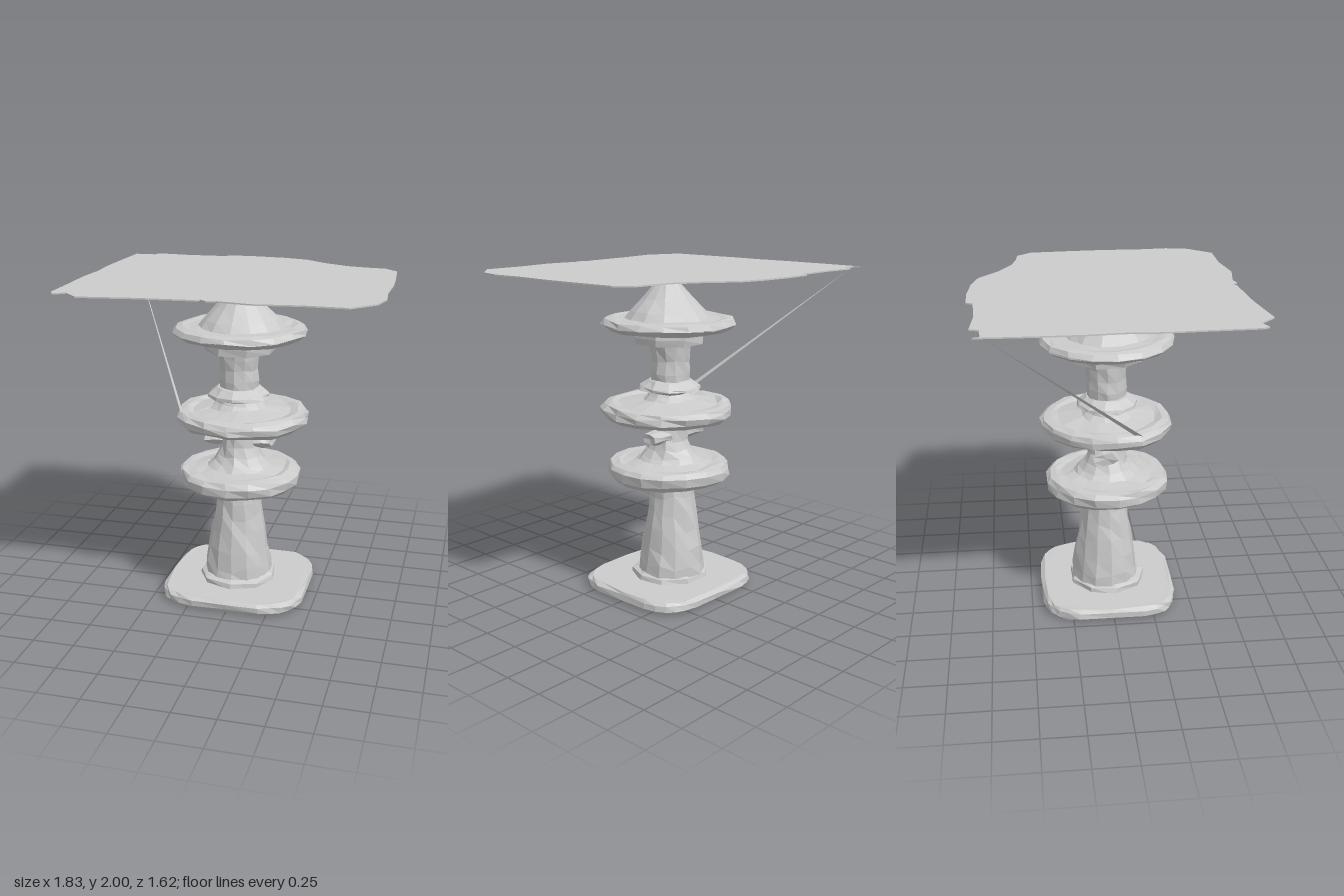
import * as THREE from 'three';

const stone = new THREE.MeshStandardMaterial({ color: 0xcccccc, flatShading: true, side: THREE.DoubleSide });

// Repeatable noise from a position, so seam vertices move together
const noise = (x, y, z, k) => {
  const q = (v) => Math.round(v * 1000);
  const s = Math.sin(q(x) * 12.9898 + q(y) * 78.233 + q(z) * 37.719 + k * 51.3) * 43758.5453;
  return (s - Math.floor(s)) * 2 - 1;
};

// Roughen a geometry like worn, hand-cut stone
function weather(geo, amount, amountY = amount) {
  const p = geo.attributes.position;
  for (let i = 0; i < p.count; i++) {
    const [x, y, z] = [p.getX(i), p.getY(i), p.getZ(i)];
    p.setXYZ(i, x + noise(x, y, z, 1) * amount, y + noise(x, y, z, 2) * amountY, z + noise(x, y, z, 3) * amount);
  }
  geo.computeVertexNormals();
  return geo;
}

function add(group, name, geo, x = 0, y = 0, z = 0) {
  const mesh = new THREE.Mesh(geo, stone);
  mesh.name = name;
  mesh.position.set(x, y, z);
  group.add(mesh);
  return mesh;
}

const turned = (profile, sides, rough, roughY) =>
  weather(new THREE.LatheGeometry(profile.map(([r, y]) => new THREE.Vector2(r, y)), sides), rough, roughY);

// Flat outline in x, z extruded upward
function slab(points, depth, bevel = 0) {
  const shape = new THREE.Shape(points.map(([x, z]) => new THREE.Vector2(x, -z)));
  const geo = new THREE.ExtrudeGeometry(shape, {
    depth, bevelEnabled: bevel > 0, bevelThickness: bevel, bevelSize: bevel, bevelOffset: -bevel, bevelSegments: 1,
  });
  return geo.rotateX(-Math.PI / 2).translate(0, bevel, 0);
}

// Overhanging disc with a hollow underside and a drooping rim
const discProfile = (r, y0, y1, dip, hub, hubY) => [
  [0.1, y1 - 0.05], [r - 0.12, y1 - 0.045], [r - 0.085, y0 + 0.015], [r - 0.045, y0], [r - 0.005, y0 + 0.03],
  [r, y1 - 0.035], [r - 0.02, y1 - 0.006], [r - 0.06, y1], [r - 0.1, y1 - dip], [hub, hubY],
];

export function createModel() {
  const model = new THREE.Group();
  model.name = 'stoneTower';

  // Rounded square foot
  const foot = [];
  for (let i = 0; i < 28; i++) {
    const a = (i / 28) * Math.PI * 2;
    const p = (v) => Math.sign(v) * Math.pow(Math.abs(v), 0.5);
    foot.push([0.445 * p(Math.cos(a)) - 0.01, -0.42 * p(Math.sin(a)) - 0.01]);
  }
  add(model, 'foot', weather(slab(foot, 0.035, 0.018), 0.008, 0.002));

  // Low plinth and tapering lower shaft
  add(model, 'plinth', turned([[0.245, 0.06], [0.24, 0.1], [0.2, 0.117], [0.15, 0.118]], 9, 0.008, 0.003), -0.02, 0, -0.01);
  add(model, 'lowerShaft', turned([
    [0.215, 0.1], [0.207, 0.17], [0.19, 0.27], [0.17, 0.4], [0.153, 0.5], [0.14, 0.6], [0.132, 0.7], [0.13, 0.8],
  ], 13, 0.006, 0.02), -0.02, 0, -0.02);

  // Lower disc with its collar beneath and sloping hub above
  add(model, 'lowerCollar', turned([[0.13, 0.735], [0.2, 0.74], [0.21, 0.78]], 12, 0.006), -0.01, 0, -0.01);
  add(model, 'lowerDisc', turned(discProfile(0.38, 0.71, 0.825, 0.006, 0.2, 0.835), 17, 0.01, 0.006), -0.01, 0, -0.005);
  add(model, 'lowerHub', turned([
    [0.22, 0.815], [0.17, 0.86], [0.135, 0.905], [0.115, 0.96], [0.112, 1.03], [0.125, 1.08], [0.15, 1.13], [0.15, 1.16],
  ], 12, 0.008, 0.01), -0.01, 0, -0.01);

  // Stubby side lugs
  for (const [name, x] of [['rightLug', -0.16], ['leftLug', 0.13]]) {
    const geo = new THREE.CylinderGeometry(0.045, 0.038, 0.13, 7, 2);
    geo.rotateZ(Math.PI / 2).scale(1, 1, 1.7);
    add(model, name, weather(geo, 0.01), x, 0.99, -0.03);
  }

  // Middle disc and the ridged collar above it
  add(model, 'middleDisc', turned(discProfile(0.405, 1.1, 1.2, 0.012, 0.15, 1.215), 17, 0.01, 0.006), 0.01, 0, -0.01);
  add(model, 'ridgedCollar', turned([
    [0.18, 1.2], [0.135, 1.235], [0.125, 1.255], [0.19, 1.275], [0.185, 1.292], [0.135, 1.33], [0.11, 1.335],
  ], 11, 0.006, 0.004), -0.015, 0, -0.005);

  // Upper shaft, faceted capital and roof
  add(model, 'upperShaft', turned([[0.12, 1.31], [0.123, 1.38], [0.118, 1.45], [0.125, 1.52], [0.135, 1.58]], 12, 0.006, 0.01), -0.015, 0, -0.01);
  const capital = turned([[0.11, 1.557], [0.215, 1.56], [0.222, 1.6], [0.222, 1.67]], 8, 0.005, 0.003);
  add(model, 'capital', capital, -0.005, 0, -0.005).rotation.y = Math.PI / 8;
  add(model, 'roofDisc', turned(discProfile(0.41, 1.645, 1.715, 0.004, 0.22, 1.715), 17, 0.009, 0.005), -0.005, 0, -0.01);
  add(model, 'roofCone', turned([
    [0.275, 1.695], [0.225, 1.757], [0.155, 1.83], [0.075, 1.92], [0, 1.995],
  ], 14, 0.003));

  // Thin ragged canopy sheet
  const outline = [
    [-0.91, -0.76], [-0.9, -0.72], [-0.78, -0.73], [-0.77, -0.78], [-0.55, -0.76], [-0.3, -0.77], [-0.28, -0.81],
    [-0.1, -0.81], [0.1, -0.79], [0.25, -0.75], [0.4, -0.63], [0.55, -0.55], [0.68, -0.52], [0.79, -0.51],
    [0.87, -0.42], [0.89, -0.15], [0.9, 0.05], [0.895, 0.3], [0.91, 0.48], [0.88, 0.62], [0.75, 0.76], [0.5, 0.755],
    [0.25, 0.785], [0.05, 0.75], [0, 0.765], [-0.04, 0.73], [-0.06, 0.75], [-0.4, 0.77], [-0.71, 0.81], [-0.8, 0.72],
    [-0.87, 0.745], [-0.89, 0.71], [-0.9, 0.4], [-0.91, 0.2], [-0.9, 0], [-0.915, -0.2], [-0.915, -0.5],
  ];
  add(model, 'canopy', slab(outline, 0.008), 0, 1.992, 0);

  // Sliver-thin stay from the canopy corner to the middle disc
  const stay = new THREE.BufferGeometry();
  stay.setAttribute('position', new THREE.Float32BufferAttribute([
    -0.91, 1.99, -0.7, -0.33, 1.18, 0.14, -0.33, 1.18, 0.18,
  ], 3));
  stay.computeVertexNormals();
  add(model, 'stay', stay);

  return model;
}
